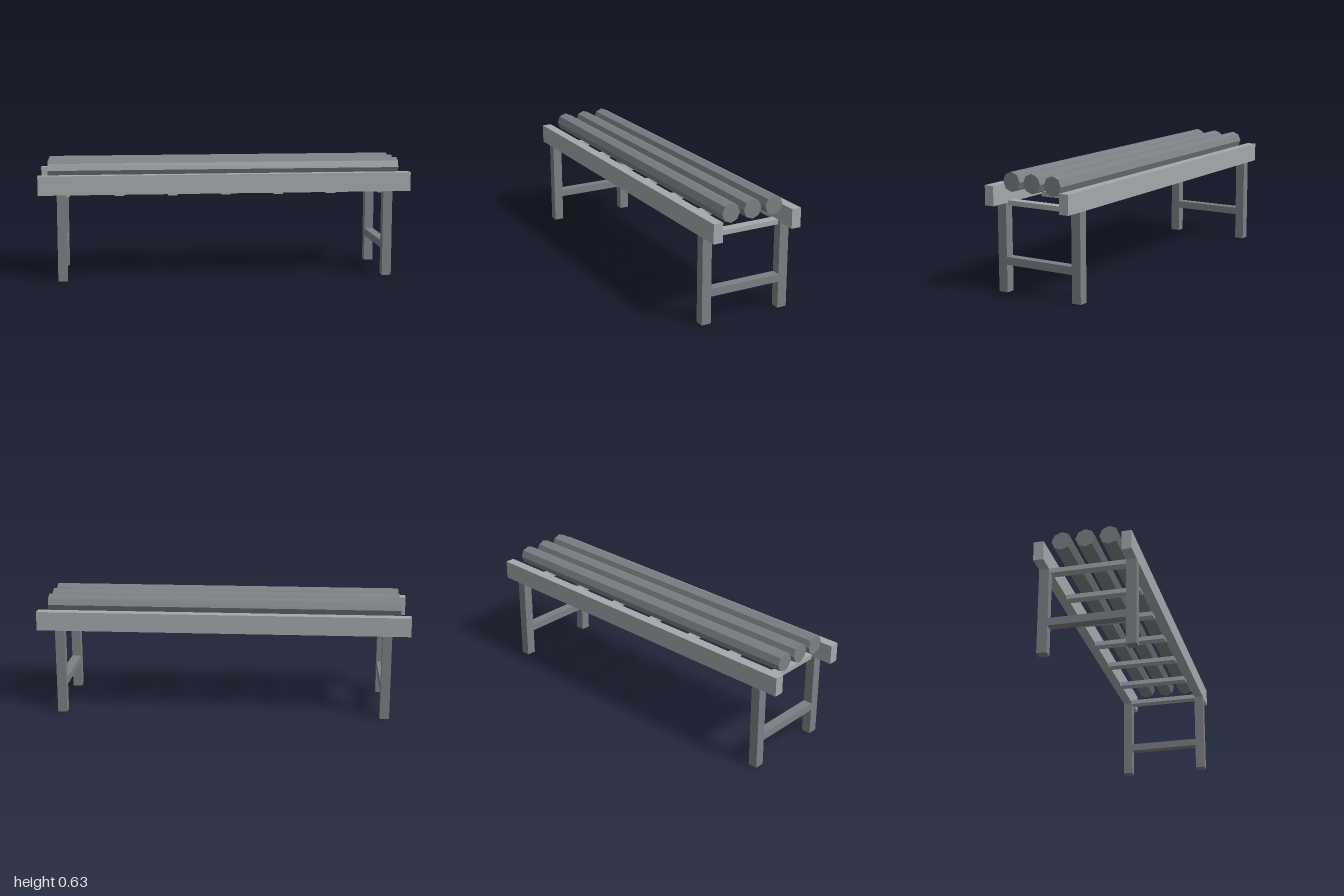
import * as THREE from 'three';

export function createModel() {
  const bench = new THREE.Group();
  bench.name = 'bench';

  const lightGrey = new THREE.MeshStandardMaterial({ color: 0xa4a9ac });
  lightGrey.name = 'light grey';
  const darkGrey = new THREE.MeshStandardMaterial({ color: 0x7c8084 });
  darkGrey.name = 'dark grey';
  // faceted logs share the dark colour, drawn flat
  const logGrey = darkGrey;
  logGrey.flatShading = true;

  const add = (name, geometry, material, x, y, z) => {
    const mesh = new THREE.Mesh(geometry, material);
    mesh.name = name;
    mesh.position.set(x, y, z);
    bench.add(mesh);
  };

  // long side rails
  const rail = new THREE.BoxGeometry(2, 0.102, 0.052);
  for (const side of [-1, 1]) {
    add(side > 0 ? 'frontRail' : 'backRail', rail, lightGrey, 0, 0.512, side * 0.224);
  }

  // crosswise rungs between the rails
  const rung = new THREE.BoxGeometry(0.05, 0.025, 0.398);
  for (let i = -3; i <= 3; i++) {
    add('rung', rung, lightGrey, i * 0.286, 0.46, 0);
  }

  // legs with a stretcher at each end
  const leg = new THREE.BoxGeometry(0.05, 0.461, 0.052);
  const stretcher = new THREE.BoxGeometry(0.05, 0.041, 0.398);
  for (const end of [-1, 1]) {
    for (const side of [-1, 1]) {
      add(side > 0 ? 'frontLeg' : 'backLeg', leg, darkGrey, end * 0.876, 0.2305, side * 0.224);
    }
    add('stretcher', stretcher, darkGrey, end * 0.876, 0.1645, 0);
  }

  // three eight-sided seat logs
  const log = new THREE.CylinderGeometry(0.0505, 0.0505, 1.9, 8);
  log.rotateZ(Math.PI / 2);
  for (const z of [-0.123, 0, 0.123]) {
    add('seatLog', log, logGrey, 0, 0.583, z);
  }

  return bench;
}
